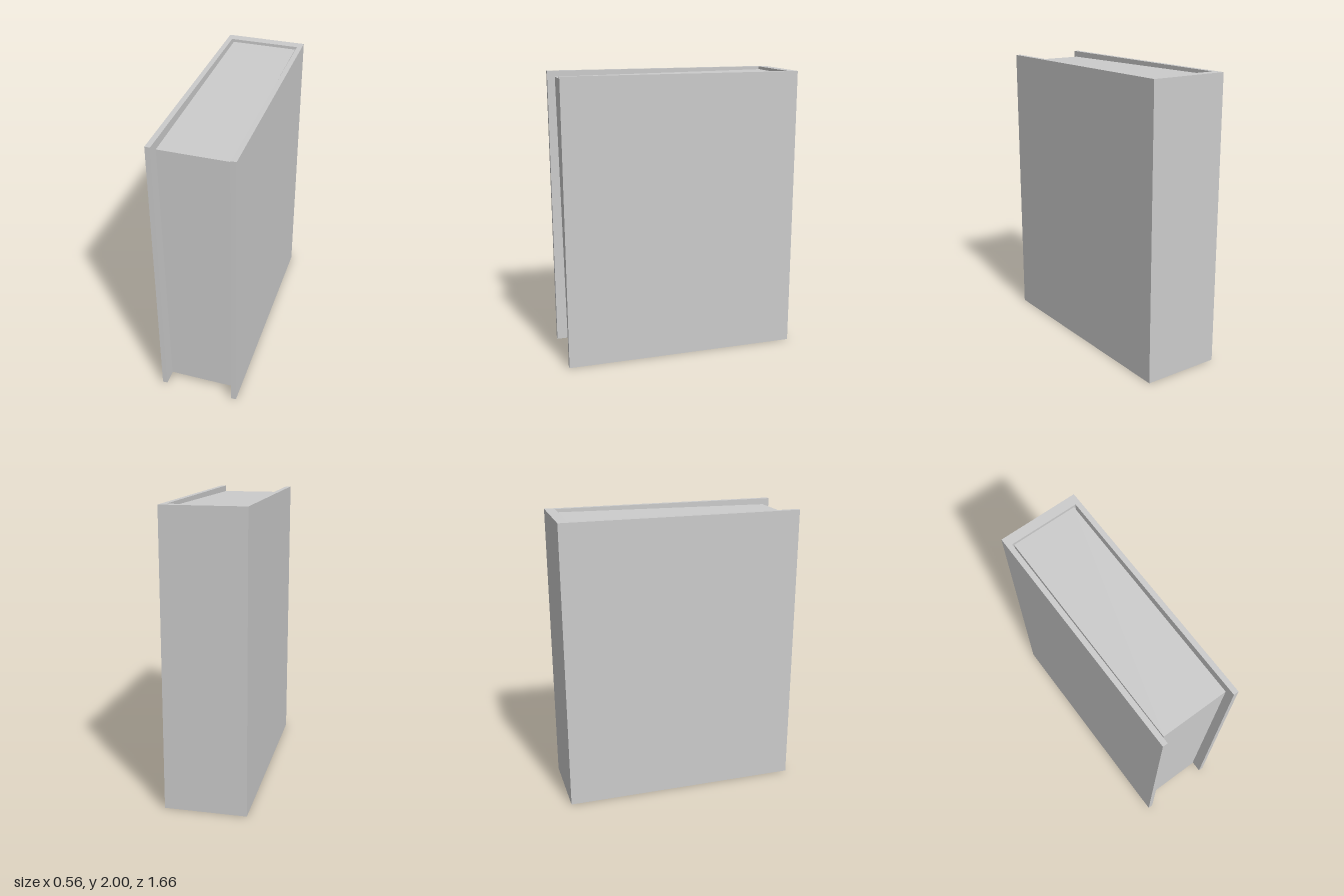
import * as THREE from 'three';

export function createModel() {
  const book = new THREE.Group();
  book.name = 'book';
  const grey = new THREE.MeshStandardMaterial({ color: 0xcccccc });
  grey.name = 'plain grey';

  // Cover: a U-shaped outline (two boards and a spine) extruded upwards
  const X = 0.278, Z = 0.828, INNER_X = 0.243, SPINE_Z = 0.76;
  const outline = new THREE.Shape([
    [-X, -Z], [-INNER_X, -Z], [-INNER_X, SPINE_Z], [INNER_X, SPINE_Z],
    [INNER_X, -Z], [X, -Z], [X, Z], [-X, Z],
  ].map(([x, y]) => new THREE.Vector2(x, y)));
  const coverGeometry = new THREE.ExtrudeGeometry(outline, { depth: 2, bevelEnabled: false });
  coverGeometry.rotateX(-Math.PI / 2); // shape y becomes -z, so the spine is at the back
  const cover = new THREE.Mesh(coverGeometry, grey);
  cover.name = 'cover';

  // Page block: set back from the cover edges and tipped slightly forward
  const pages = new THREE.Mesh(new THREE.BoxGeometry(0.46, 1.92, 1.55), grey);
  pages.name = 'pages';
  pages.position.set(0, 1.01, -0.01);
  pages.rotation.x = 0.0125;

  book.add(cover, pages);
  return book;
}
